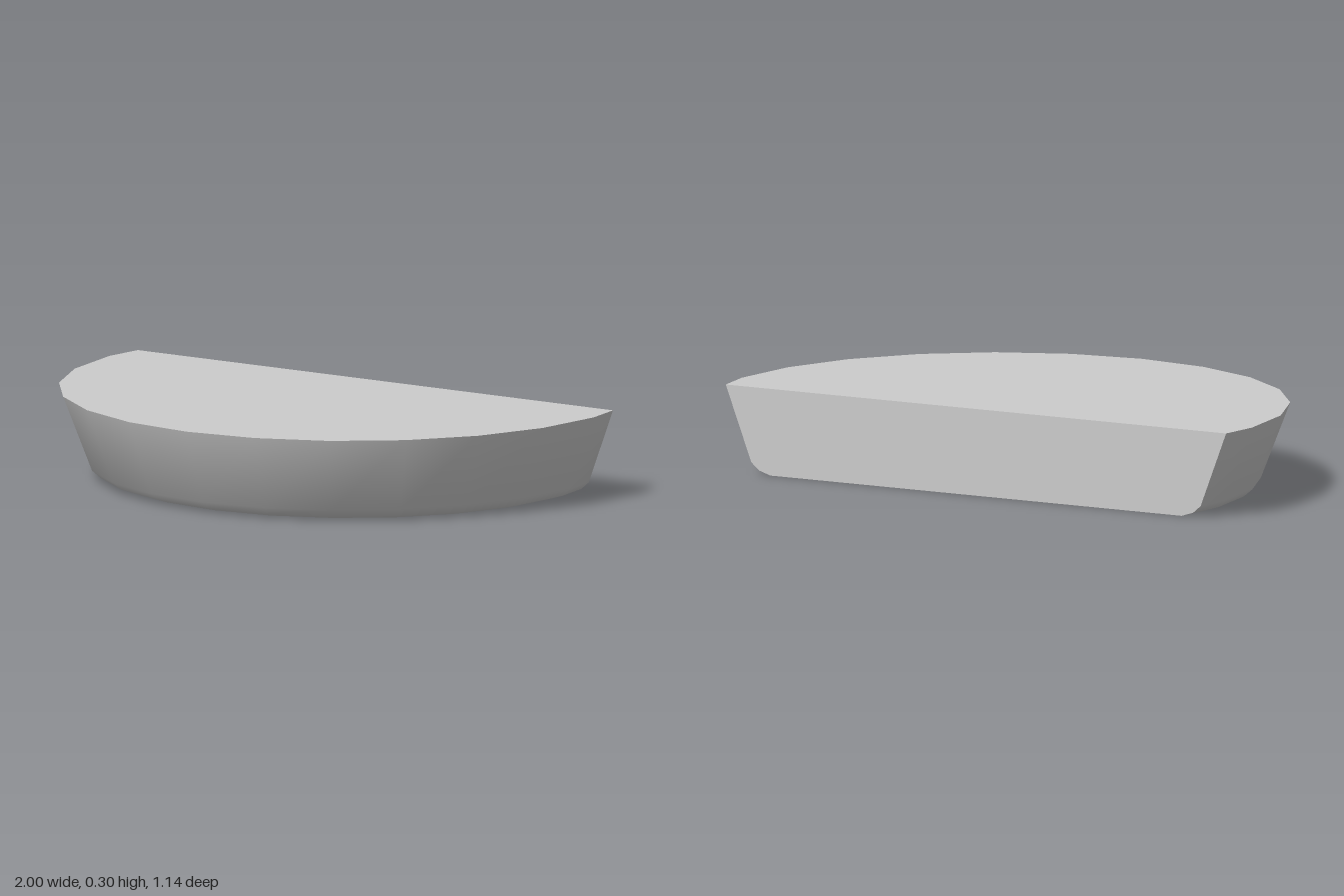
import * as THREE from 'three';
import { toCreasedNormals } from 'three/addons/utils/BufferGeometryUtils.js';

const CENTRE_Z = -0.43; // axis of the round side
const BACK_Z = -0.574;  // flat cut at the back
const STEP = Math.PI / 12;
const PROFILE = [[0.825, 0], [0.87, 0.014], [0.9, 0.04], [1, 0.3]]; // radius, height

// One 24-sided ring, cut off at the back plane
function ring([r, y]) {
  const points = [];
  for (let k = -7; k <= 7; k++) {
    const p = new THREE.Vector3(r * Math.sin(k * STEP), y, CENTRE_Z + r * Math.cos(k * STEP));
    if (Math.abs(k) === 7) {
      const inner = new THREE.Vector3(Math.sign(k) * r, y, CENTRE_Z);
      p.lerpVectors(inner, p.clone(), (CENTRE_Z - BACK_Z) / (CENTRE_Z - p.z));
    }
    points.push(p);
  }
  return points;
}

export function createModel() {
  const rings = PROFILE.map(ring);
  const top = rings[rings.length - 1];
  const triangles = [];
  const fan = (poly) => {
    for (let i = 1; i < poly.length - 1; i++) triangles.push(poly[0], poly[i], poly[i + 1]);
  };

  // Sloping wall and rounded lower edge
  for (let j = 0; j < rings.length - 1; j++) {
    const a = rings[j], b = rings[j + 1];
    for (let k = 0; k < a.length - 1; k++) fan([a[k], a[k + 1], b[k + 1], b[k]]);
  }
  // Flat top, base and back
  fan(top);
  fan([...rings[0]].reverse());
  fan([...rings.map((r) => r[0]), ...rings.map((r) => r[r.length - 1]).reverse()]);

  const geometry = toCreasedNormals(new THREE.BufferGeometry().setFromPoints(triangles), 0.6);
  const body = new THREE.Mesh(geometry, new THREE.MeshStandardMaterial({ color: 0xcccccc }));
  body.name = 'halfRoundBody';
  const group = new THREE.Group();
  group.name = 'halfRoundBlock';
  group.add(body);
  return group;
}
